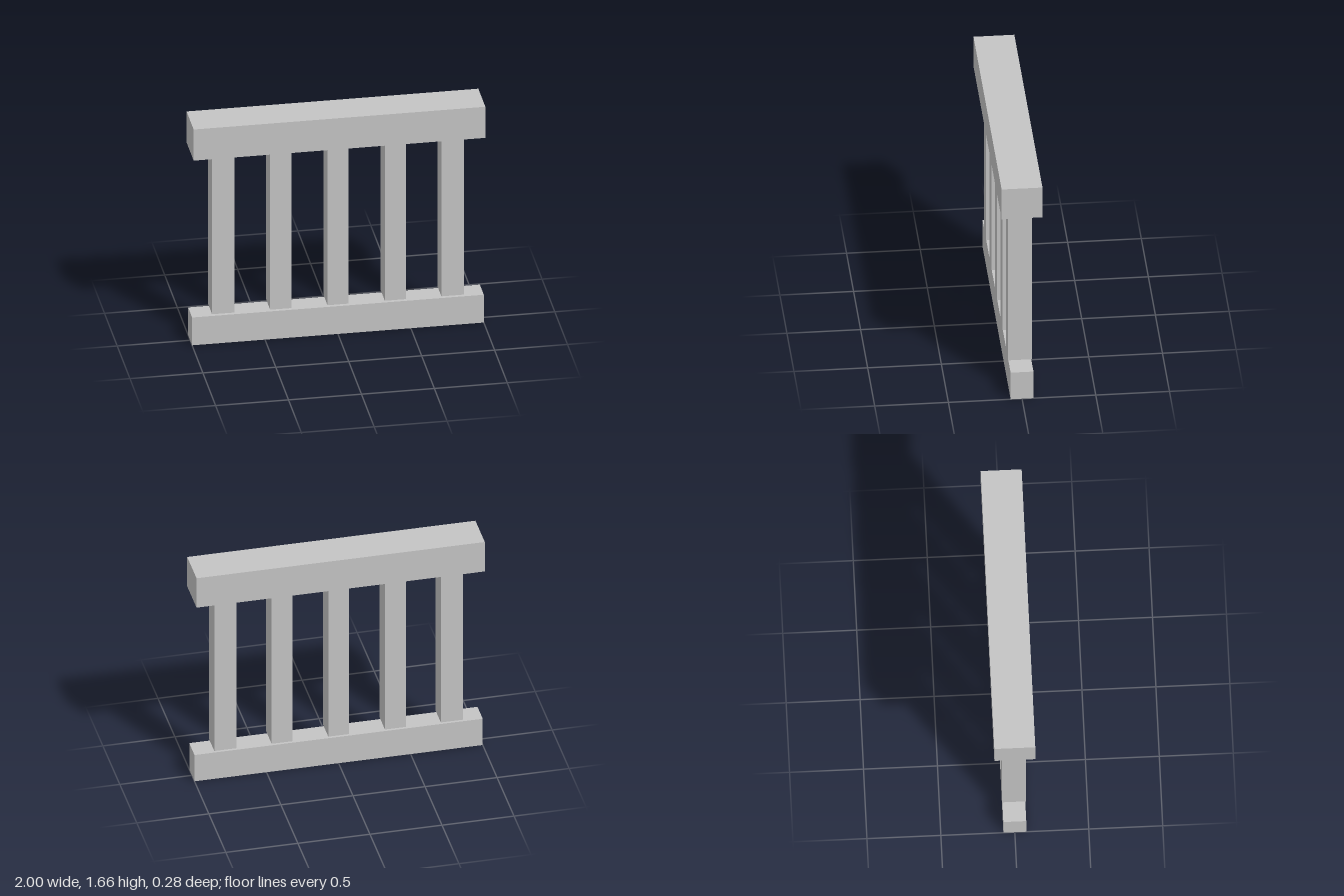
import * as THREE from 'three';

export function createModel() {
  const model = new THREE.Group();
  model.name = 'balustrade';
  const stone = new THREE.MeshStandardMaterial({ color: 0xc4c4c4 });
  stone.name = 'grey stone';

  // Box given by its centre x, bottom and top heights, width and depth
  const addBlock = (name, x, bottom, top, width, depth) => {
    const mesh = new THREE.Mesh(new THREE.BoxGeometry(width, top - bottom, depth), stone);
    mesh.name = name;
    mesh.position.set(x, (bottom + top) / 2, 0);
    model.add(mesh);
  };

  addBlock('bottomRail', 0, 0, 0.21, 2, 0.155);
  addBlock('topRail', 0, 1.425, 1.66, 2, 0.277);

  // Five balusters, the end ones slightly wider, floating just above the bottom rail
  for (let i = -2; i <= 2; i++) {
    const isEnd = Math.abs(i) === 2;
    addBlock(`baluster${i + 3}`, i * 0.393, 0.225, 1.425, isEnd ? 0.155 : 0.145, 0.163);
  }
  return model;
}
